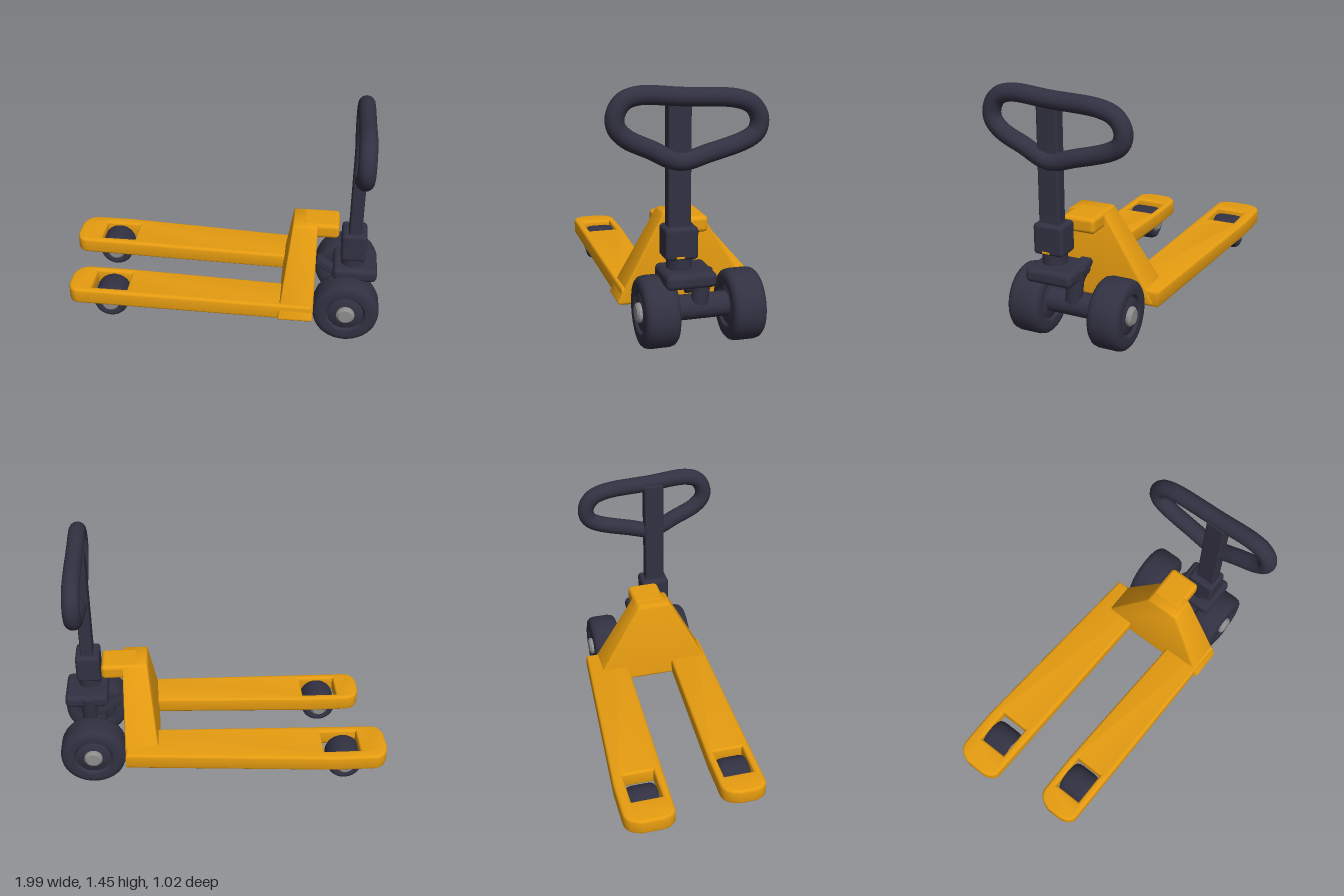
import * as THREE from 'three';
import { toCreasedNormals } from 'three/addons/utils/BufferGeometryUtils.js';
import { RoundedBoxGeometry } from 'three/addons/geometries/RoundedBoxGeometry.js';

const material = (name, color) => new THREE.MeshStandardMaterial({ name, color });

export function createModel() {
  const yellow = material('yellow paint', 0xe69c10);
  const dark = material('dark rubber and metal', 0x323142);
  const silver = material('silver hub', 0x8e8e8e);
  const model = new THREE.Group();
  model.name = 'palletTruck';

  const add = (name, geometry, mat, x = 0, y = 0, z = 0, parent = model) => {
    const mesh = new THREE.Mesh(geometry, mat);
    mesh.name = name;
    mesh.position.set(x, y, z);
    parent.add(mesh);
    return mesh;
  };
  // Rounded box given by its lowest and highest corners
  const block = (name, mat, [x0, y0, z0], [x1, y1, z1], r = 0.02) =>
    add(name, new RoundedBoxGeometry(x1 - x0, y1 - y0, z1 - z0, 3, r), mat,
      (x0 + x1) / 2, (y0 + y1) / 2, (z0 + z1) / 2);
  const vectors = (points) => points.map(([x, z]) => new THREE.Vector2(x, -z));

  // Forks: plan outline with a rounded tip and a through hole for the roller
  const fork = (name, s, hole) => {
    const shape = new THREE.Shape();
    shape.moveTo(s.end, -s.endZ[0]);
    shape.lineTo(s.tip + 0.33, -s.tipZ[0]);
    shape.lineTo(s.tip + 0.1, -s.tipZ[0]);
    shape.quadraticCurveTo(s.tip + 0.02, -s.tipZ[0], s.tip, -s.tipZ[0] - 0.1);
    shape.lineTo(s.tip, -s.tipZ[1] + 0.08);
    shape.quadraticCurveTo(s.tip + 0.015, -s.tipZ[1], s.tip + 0.07, -s.tipZ[1]);
    shape.lineTo(s.end, -s.endZ[1]);
    const [x0, x1, z0, z1] = hole;
    shape.holes.push(new THREE.Path(vectors([[x0, z0], [x1, z0], [x1, z1], [x0, z1]])));
    const b = 0.016;
    const g = new THREE.ExtrudeGeometry(shape, {
      depth: 0.1 - 2 * b, bevelThickness: b, bevelSize: b, bevelOffset: -b,
      bevelSegments: 3, curveSegments: 8,
    });
    g.rotateX(-Math.PI / 2);
    add(name, toCreasedNormals(g, 0.6), yellow, 0, 0.174 + b, 0);
  };
  fork('rightFork', { tip: -1, end: 0.59, tipZ: [-0.51, -0.21], endZ: [-0.42, -0.165] },
    [-0.83, -0.61, -0.44, -0.255]);
  fork('leftFork', { tip: -0.92, end: 0.59, tipZ: [0.085, 0.355], endZ: [0.135, 0.37] },
    [-0.77, -0.55, 0.13, 0.31]);

  // Tower: a rounded box tapered toward its top
  const tower = new RoundedBoxGeometry(1, 1, 1, 2, 0.04);
  const p = tower.attributes.position;
  const mix = THREE.MathUtils.lerp;
  for (let i = 0; i < p.count; i++) {
    const u = p.getX(i) + 0.5, v = p.getY(i) + 0.5, w = p.getZ(i) + 0.5;
    p.setXYZ(i,
      mix(mix(0.38, 0.445, v), 0.595, u),
      mix(0.18, 0.695, v),
      mix(mix(-0.40, -0.08, v), mix(0.40, 0.13, v), w));
  }
  add('tower', toCreasedNormals(tower, 0.7), yellow);
  block('towerHood', yellow, [0.5, 0.605, -0.09], [0.725, 0.697, 0.11], 0.025);

  // Wheels: lathe profile with rounded shoulders, a face groove and a hub
  const wheel = (name, r, width, hubRadius, hubWidth, x, y, z) => {
    const group = new THREE.Group();
    group.name = name;
    group.position.set(x, y, z);
    group.rotation.x = Math.PI / 2;
    const h = width / 2;
    const half = [[0, h - 0.012], [0.48 * r, h - 0.012], [0.54 * r, h - 0.02], [0.6 * r, h - 0.004],
      [0.78 * r, h], [0.9 * r, h - 0.006], [0.97 * r, h - 0.02], [r, h - 0.045]];
    const profile = [...half.map(([a, b]) => new THREE.Vector2(a, -b)),
      ...half.map(([a, b]) => new THREE.Vector2(a, b)).reverse()];
    add('tyre', toCreasedNormals(new THREE.LatheGeometry(profile, 40), 0.6), dark, 0, 0, 0, group);
    const k = hubWidth / 2;
    const hub = [[0, -k], [hubRadius * 0.75, -k], [hubRadius, -k + 0.012],
      [hubRadius, k - 0.012], [hubRadius * 0.75, k], [0, k]].map(([a, b]) => new THREE.Vector2(a, b));
    add('hub', toCreasedNormals(new THREE.LatheGeometry(hub, 24), 0.6), silver, 0, 0, 0, group);
    model.add(group);
  };
  wheel('leftSteerWheel', 0.2, 0.195, 0.055, 0.225, 0.79, 0.205, 0.23);
  wheel('rightSteerWheel', 0.2, 0.19, 0.055, 0.22, 0.79, 0.2, -0.255);
  wheel('leftRoller', 0.108, 0.18, 0.055, 0.21, -0.66, 0.162, 0.22);
  wheel('rightRoller', 0.108, 0.18, 0.055, 0.21, -0.745, 0.158, -0.355);

  // Axle, pump and steering base
  const axle = add('axle', new THREE.CylinderGeometry(0.07, 0.07, 0.36, 28), dark, 0.79, 0.21, -0.01);
  axle.rotation.x = Math.PI / 2;
  const pump = add('pump', new THREE.CylinderGeometry(0.048, 0.048, 0.2, 24), dark, 0.82, 0.34, -0.02);
  pump.rotation.x = -0.12;
  block('steeringBase', dark, [0.7, 0.37, -0.065], [0.965, 0.455, 0.215], 0.03);
  const link = add('liftLink', new RoundedBoxGeometry(0.2, 0.045, 0.07, 2, 0.01), dark, 0.68, 0.345, 0.02);
  link.rotation.z = -0.6;
  add('pivot', new THREE.CylinderGeometry(0.07, 0.07, 0.1, 28), dark, 0.815, 0.48, 0.105);
  block('handleSocket', dark, [0.74, 0.51, 0.018], [0.89, 0.69, 0.2], 0.022);
  block('socketMark', yellow, [0.887, 0.522, 0.098], [0.893, 0.534, 0.142], 0.002);
  block('handleColumn', dark, [0.78, 0.66, 0.052], [0.857, 1.38, 0.178], 0.012);

  // Grip loop: straight runs joined by rounded corners
  const loop = new THREE.CatmullRomCurve3([
    [0.115, 1.04], [0.27, 1.11], [0.4, 1.175], [0.452, 1.235], [0.455, 1.3], [0.415, 1.365], [0.335, 1.393],
    [0.1, 1.378], [-0.2, 1.357], [-0.285, 1.32], [-0.325, 1.25], [-0.312, 1.18], [-0.26, 1.14], [-0.05, 1.076],
  ].map(([z, y]) => new THREE.Vector3(0.838, y, z)), true, 'centripetal');
  add('gripLoop', new THREE.TubeGeometry(loop, 120, 0.051, 16, true), dark);

  return model;
}
